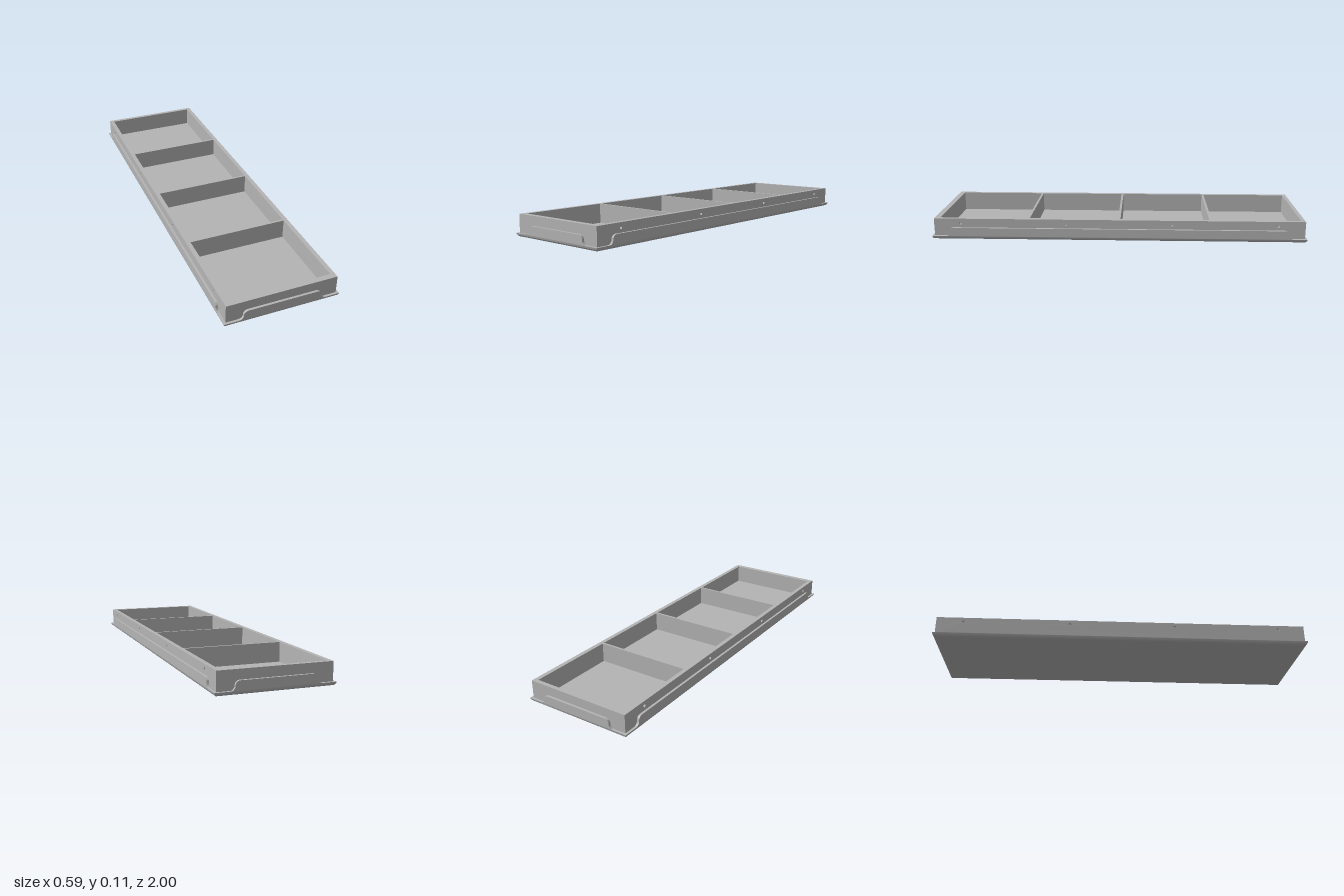
import * as THREE from 'three';
import { toCreasedNormals } from 'three/addons/utils/BufferGeometryUtils.js';

const HX = 0.295, HZ = 1;          // half width and half length of the pan
const T = 0.012;                   // sheet thickness of the pan
const BEND = 0.019;                // outer bend radius
const FLANGE_TOP = 0.065, FRAME_TOP = 0.113, FLOOR = 0.009;

// Flange outline: a long tab whose ends sweep down in an S of two quarter arcs
function flangeShape(half) {
  const r = (FLANGE_TOP - BEND) / 2, m = half - 0.097;
  const s = new THREE.Shape();
  s.moveTo(-m - r, BEND);
  s.lineTo(m + r, BEND);
  s.absarc(m + r, BEND + r, r, -Math.PI / 2, -Math.PI, true);
  s.absarc(m - r, BEND + r, r, 0, Math.PI / 2, false);
  s.lineTo(-m + r, FLANGE_TOP);
  s.absarc(-m + r, BEND + r, r, Math.PI / 2, Math.PI, false);
  s.absarc(-m - r, BEND + r, r, 0, -Math.PI / 2, true);
  return s;
}

// Rounded bend running round all four sides, mitred at the corners
function bendGeometry() {
  const profile = [];
  for (let i = 0; i <= 10; i++) {
    const a = (i / 10) * Math.PI / 2;
    profile.push([BEND * (1 - Math.sin(a)), BEND * (1 - Math.cos(a))]);
  }
  profile.push([T, BEND], [T, FLOOR]);
  const corners = [[-1, 1], [1, 1], [1, -1], [-1, -1]];
  const pos = [];
  const at = ([inset, y], [sx, sz]) => [sx * (HX - inset), y, sz * (HZ - inset)];
  for (let k = 0; k < 4; k++) {
    const c = corners[k], d = corners[(k + 1) % 4];
    for (let i = 0; i < profile.length - 1; i++) {
      const p = profile[i], q = profile[i + 1];
      pos.push(...at(p, c), ...at(p, d), ...at(q, d));
      pos.push(...at(p, c), ...at(q, d), ...at(q, c));
    }
  }
  const g = new THREE.BufferGeometry();
  g.setAttribute('position', new THREE.Float32BufferAttribute(pos, 3));
  return toCreasedNormals(g, 0.6);
}

export function createModel() {
  const group = new THREE.Group();
  const metal = new THREE.MeshStandardMaterial({ color: 0xb4b4b4 });
  metal.name = 'light grey metal';

  const add = (name, geometry, parent = group) => {
    const mesh = new THREE.Mesh(geometry, metal);
    mesh.name = name;
    parent.add(mesh);
    return mesh;
  };
  // Box given by its limits on each axis
  const box = (name, x0, x1, y0, y1, z0, z1) => {
    const mesh = add(name, new THREE.BoxGeometry(x1 - x0, y1 - y0, z1 - z0));
    mesh.position.set((x0 + x1) / 2, (y0 + y1) / 2, (z0 + z1) / 2);
  };

  // Pan: flat floor, rounded bends and four upright flanges
  const fx = HX - BEND, fz = HZ - BEND;
  box('panFloor', -fx, fx, 0, FLOOR, -fz, fz);
  add('panBend', bendGeometry());
  ['frontFlange', 'leftFlange', 'backFlange', 'rightFlange'].forEach((name, k) => {
    const [half, reach] = k % 2 ? [HZ, HX] : [HX, HZ];
    const g = new THREE.ExtrudeGeometry(flangeShape(half), { depth: T, bevelEnabled: false, curveSegments: 10 });
    g.translate(0, 0, reach - T);
    add(name, toCreasedNormals(g, 0.6)).rotation.y = k * Math.PI / 2;
  });

  // Frame: end walls, then side walls with blind fixing holes in the outer layer
  const wx = HX - T, wz = HZ - T, inner = 0.26, layer = 0.012;
  const front = 0.959, back = -0.967;
  box('frontWall', -inner, inner, FLOOR, FRAME_TOP, front, wz);
  box('backWall', -inner, inner, FLOOR, FRAME_TOP, -wz, back);
  for (const s of [1, -1]) {
    const side = s > 0 ? 'left' : 'right';
    const edges = [s * inner, s * (wx - layer)].sort((a, b) => a - b);
    box(side + 'WallInner', edges[0], edges[1], FLOOR, FRAME_TOP, -wz, wz);

    const skin = new THREE.Shape();
    skin.moveTo(-wz, FLOOR);
    skin.lineTo(wz, FLOOR);
    skin.lineTo(wz, FRAME_TOP);
    skin.lineTo(-wz, FRAME_TOP);
    skin.closePath();
    for (const z of [-0.845, -0.282, 0.282, 0.845]) {
      const hole = new THREE.Path();
      hole.absarc(z, 0.089, 0.008, 0, Math.PI * 2, true);
      skin.holes.push(hole);
    }
    const g = new THREE.ExtrudeGeometry(skin, { depth: layer, bevelEnabled: false, curveSegments: 16 });
    g.translate(0, 0, wx - layer);
    add(side + 'WallOuter', toCreasedNormals(g, 0.6)).rotation.y = s * Math.PI / 2;
  }

  // Three thin dividers making four compartments
  [-0.489, -0.005, 0.481].forEach((z, i) => {
    box('divider' + (i + 1), -inner, inner, FLOOR, FRAME_TOP, z - 0.006, z + 0.006);
  });

  return group;
}
